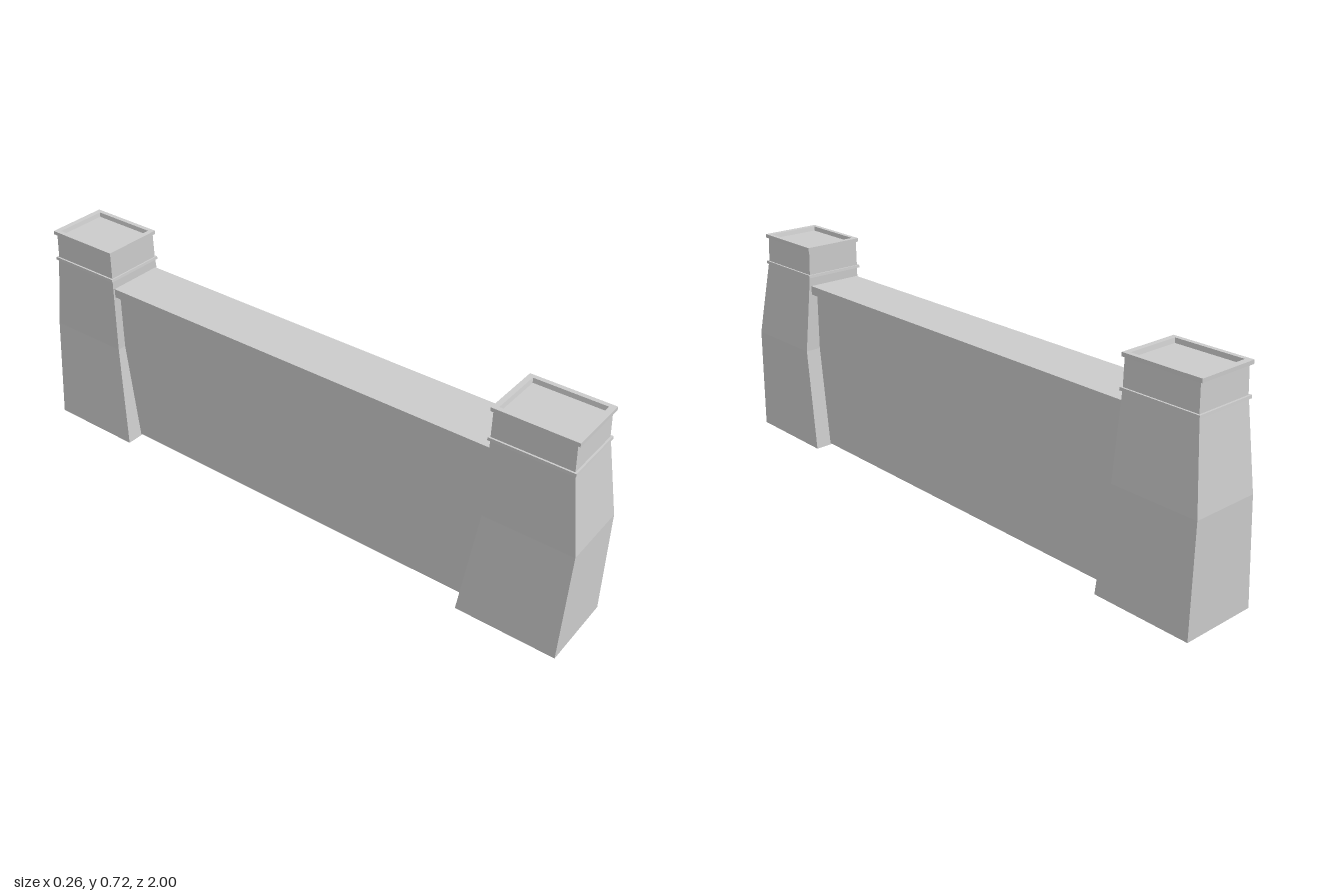
import * as THREE from 'three';

const material = new THREE.MeshStandardMaterial({
  color: 0xcccccc, flatShading: true, side: THREE.DoubleSide,
});

// Skin a stack of rectangular sections [y, x0, x1, z0, z1]; optionally close the last one.
function loft(name, sections, sign, closeEnd = false) {
  const rings = sections.map(([y, x0, x1, za, zb]) => {
    const z0 = Math.min(za * sign, zb * sign), z1 = Math.max(za * sign, zb * sign);
    return [[x0, y, z1], [x1, y, z1], [x1, y, z0], [x0, y, z0]];
  });
  const pos = [];
  const quad = (a, b, c, d) => pos.push(...a, ...b, ...c, ...a, ...c, ...d);
  for (let i = 0; i + 1 < rings.length; i++) {
    for (let k = 0; k < 4; k++) {
      const n = (k + 1) % 4;
      quad(rings[i][k], rings[i][n], rings[i + 1][n], rings[i + 1][k]);
    }
  }
  if (closeEnd) quad(...rings[rings.length - 1]);
  const geo = new THREE.BufferGeometry();
  geo.setAttribute('position', new THREE.Float32BufferAttribute(pos, 3));
  geo.computeVertexNormals();
  const mesh = new THREE.Mesh(geo, material);
  mesh.name = name;
  return mesh;
}

function box(name, w, y0, y1, length) {
  const mesh = new THREE.Mesh(new THREE.BoxGeometry(w, y1 - y0, length), material);
  mesh.position.y = (y0 + y1) / 2;
  mesh.name = name;
  return mesh;
}

// End pillar: sign +1 is the front one, -1 its mirror at the back
function pillar(name, sign) {
  const group = new THREE.Group();
  group.name = name;
  group.add(
    // hollow shaft, open below, leaning at mid height
    loft('shaft', [
      [0, -0.132, 0.13, 0.67, 1],
      [0.355, -0.103, 0.127, 0.71, 1],
      [0.615, -0.1, 0.1, 0.71, 0.963],
    ], sign),
    // projecting band
    loft('collar', [
      [0.615, -0.1, 0.1, 0.71, 0.963],
      [0.615, -0.107, 0.106, 0.704, 0.968],
      [0.624, -0.106, 0.105, 0.705, 0.967],
      [0.624, -0.1, 0.099, 0.71, 0.961],
    ], sign),
    loft('neck', [
      [0.624, -0.1, 0.099, 0.71, 0.961],
      [0.708, -0.099, 0.097, 0.71, 0.957],
    ], sign),
    // top rim with a sunken panel
    loft('coping', [
      [0.708, -0.099, 0.097, 0.71, 0.957],
      [0.708, -0.105, 0.103, 0.704, 0.966],
      [0.72, -0.105, 0.103, 0.704, 0.966],
      [0.72, -0.09, 0.088, 0.721, 0.947],
      [0.706, -0.087, 0.085, 0.724, 0.944],
    ], sign, true),
  );
  return group;
}

export function createModel() {
  const model = new THREE.Group();
  model.name = 'parapetWall';
  model.add(
    pillar('frontPillar', 1),
    pillar('backPillar', -1),
    box('wall', 0.145, 0.005, 0.555, 1.5),
    box('wallCap', 0.192, 0.555, 0.585, 1.416),
  );
  return model;
}
